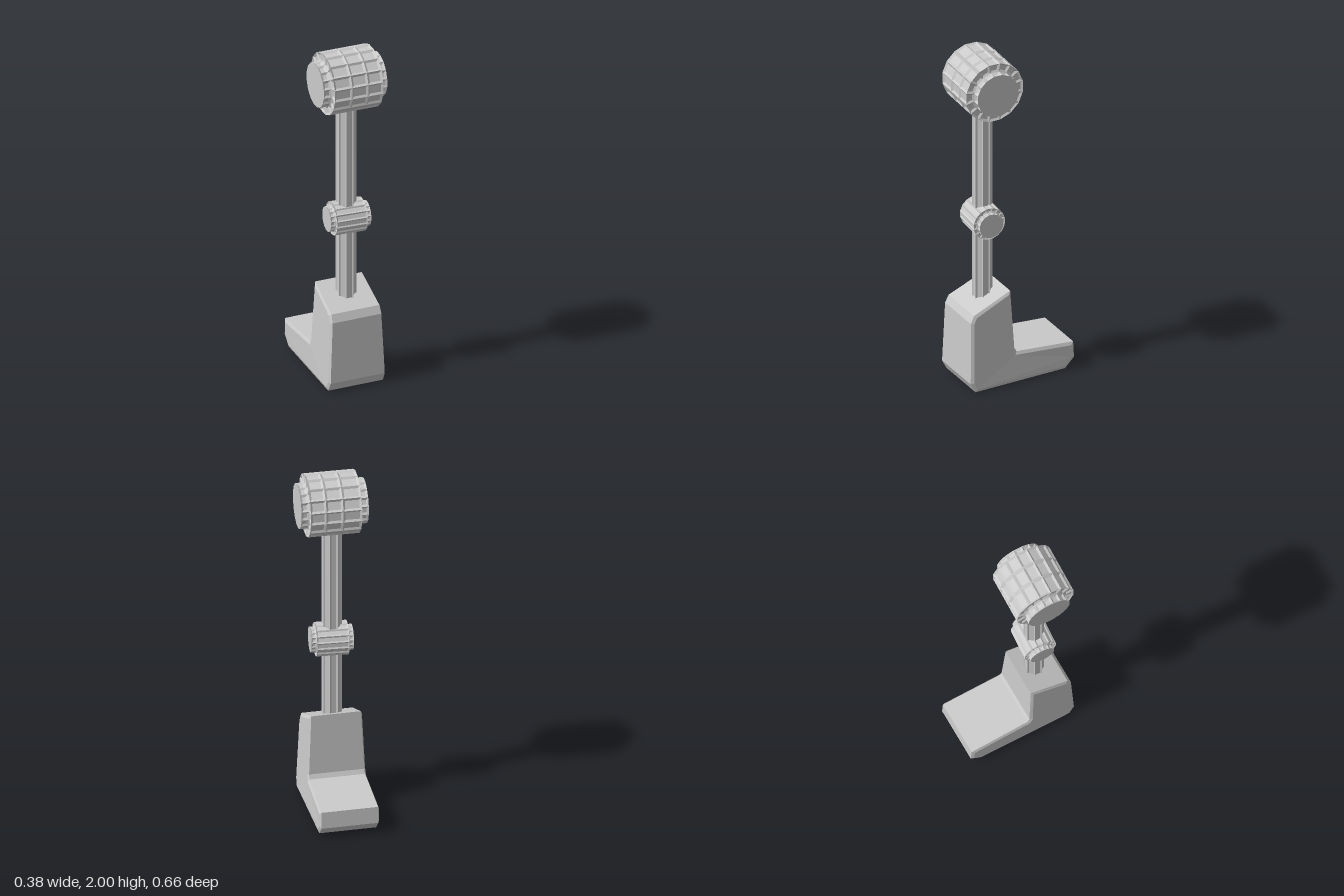
import * as THREE from 'three';

const material = new THREE.MeshStandardMaterial({ color: 0xcccccc, flatShading: true });

// Surface of revolution about x whose every facet is a bevelled, recessed panel.
// rings: [x, radius] from -x to +x; a zero radius closes the end with a plain disc.
// The depth stays below the margin so that panels meeting at an edge never cross.
function panelled(rings, sides, margin, depth) {
  const positions = [];
  const tri = (...pts) => pts.forEach(p => positions.push(p.x, p.y, p.z));
  const quad = (a, b, c, d) => { tri(a, b, c); tri(a, c, d); };
  const point = ([x, r], j) => {
    const a = (j + 0.5) / sides * Math.PI * 2;
    return new THREE.Vector3(x, r * Math.cos(a), r * Math.sin(a));
  };
  for (let i = 0; i < rings.length - 1; i++) {
    for (let j = 0; j < sides; j++) {
      const [p, q] = [rings[i], rings[i + 1]];
      const c = [point(p, j), point(p, j + 1), point(q, j + 1), point(q, j)];
      if (p[1] === 0) { tri(c[0], c[2], c[3]); continue; }
      if (q[1] === 0) { tri(c[0], c[1], c[2]); continue; }
      const inward = c[1].clone().sub(c[0]).cross(c[3].clone().sub(c[0])).normalize().multiplyScalar(-depth);
      const inner = c.map((v, k) => {
        const out = v.clone().add(inward);
        for (const n of [c[(k + 1) % 4], c[(k + 3) % 4]]) {
          const edge = n.clone().sub(v);
          out.addScaledVector(edge, Math.min(0.3, margin / edge.length()));
        }
        return out;
      });
      for (let k = 0; k < 4; k++) quad(c[k], c[(k + 1) % 4], inner[(k + 1) % 4], inner[k]);
      quad(...inner);
    }
  }
  const g = new THREE.BufferGeometry();
  g.setAttribute('position', new THREE.Float32BufferAttribute(positions, 3));
  g.computeVertexNormals();
  return g;
}

// Boot: bevelled side profile (z, y), narrowed towards the cuff
function bootGeometry() {
  const profile = [
    [0.287, 0], [0.316, 0.055], [0.306, 0.42], [0.285, 0.465], [0.055, 0.562],
    [0.038, 0.21], [0.025, 0.185], [-0.326, 0.162], [-0.331, 0.065], [-0.275, 0.008],
  ];
  const shape = new THREE.Shape(profile.map(([z, y]) => new THREE.Vector2(z, y)));
  const inset = 0.018, thickness = 0.008;
  const g = new THREE.ExtrudeGeometry(shape, {
    depth: 2 - 2 * thickness, bevelEnabled: true, bevelSegments: 1,
    bevelSize: inset, bevelThickness: thickness, bevelOffset: -inset,
  });
  g.translate(0, 0, thickness - 1);
  g.rotateY(-Math.PI / 2);
  const pos = g.attributes.position;
  for (let i = 0; i < pos.count; i++) {
    const x = pos.getX(i), y = pos.getY(i), z = pos.getZ(i);
    const half = z < 0 ? 0.168 : 0.173 - 0.025 * y / 0.56;
    const bevelIn = 1 - Math.abs(x); // distance in from the side face
    pos.setX(i, Math.sign(x) * (half - bevelIn) + (z < 0 ? 0.002 : -0.006));
  }
  g.computeVertexNormals();
  return g;
}

export function createModel() {
  const model = new THREE.Group();
  model.name = 'mechanicalLeg';
  const add = (name, geometry, x, y, z) => {
    const mesh = new THREE.Mesh(geometry, material);
    mesh.name = name;
    mesh.position.set(x, y, z);
    model.add(mesh);
    return mesh;
  };
  const legZ = 0.155;

  // Hip drum with three panel columns and a stepped hub on each end
  const hip = add('hipJoint', panelled([
    [-0.188, 0], [-0.188, 0.128], [-0.142, 0.128], [-0.142, 0.178], [-0.037, 0.178],
    [0.058, 0.178], [0.146, 0.178], [0.146, 0.128], [0.189, 0.128], [0.189, 0],
  ], 16, 0.012, 0.008), 0, 1.826, legZ);
  hip.rotation.y = -0.03;

  // Knee drum with one column of long panels
  const knee = add('kneeJoint', panelled([
    [-0.118, 0], [-0.118, 0.072], [-0.09, 0.072], [-0.09, 0.096],
    [0.09, 0.096], [0.09, 0.072], [0.118, 0.072], [0.118, 0],
  ], 16, 0.008, 0.005), 0, 0.983, legZ);
  knee.rotation.y = -0.07;

  // Fluted shafts
  for (const [name, bottom, top] of [['thighShaft', 0.98, 1.75], ['shinShaft', 0.4, 0.98]]) {
    const h = (top - bottom) / 2;
    const shaft = add(name, panelled([[-h, 0], [-h, 0.057], [h, 0.057], [h, 0]], 8, 0.008, 0.006),
      -0.005, (top + bottom) / 2, legZ);
    shaft.rotation.z = Math.PI / 2;
  }

  add('boot', bootGeometry(), 0, 0, 0);
  return model;
}
